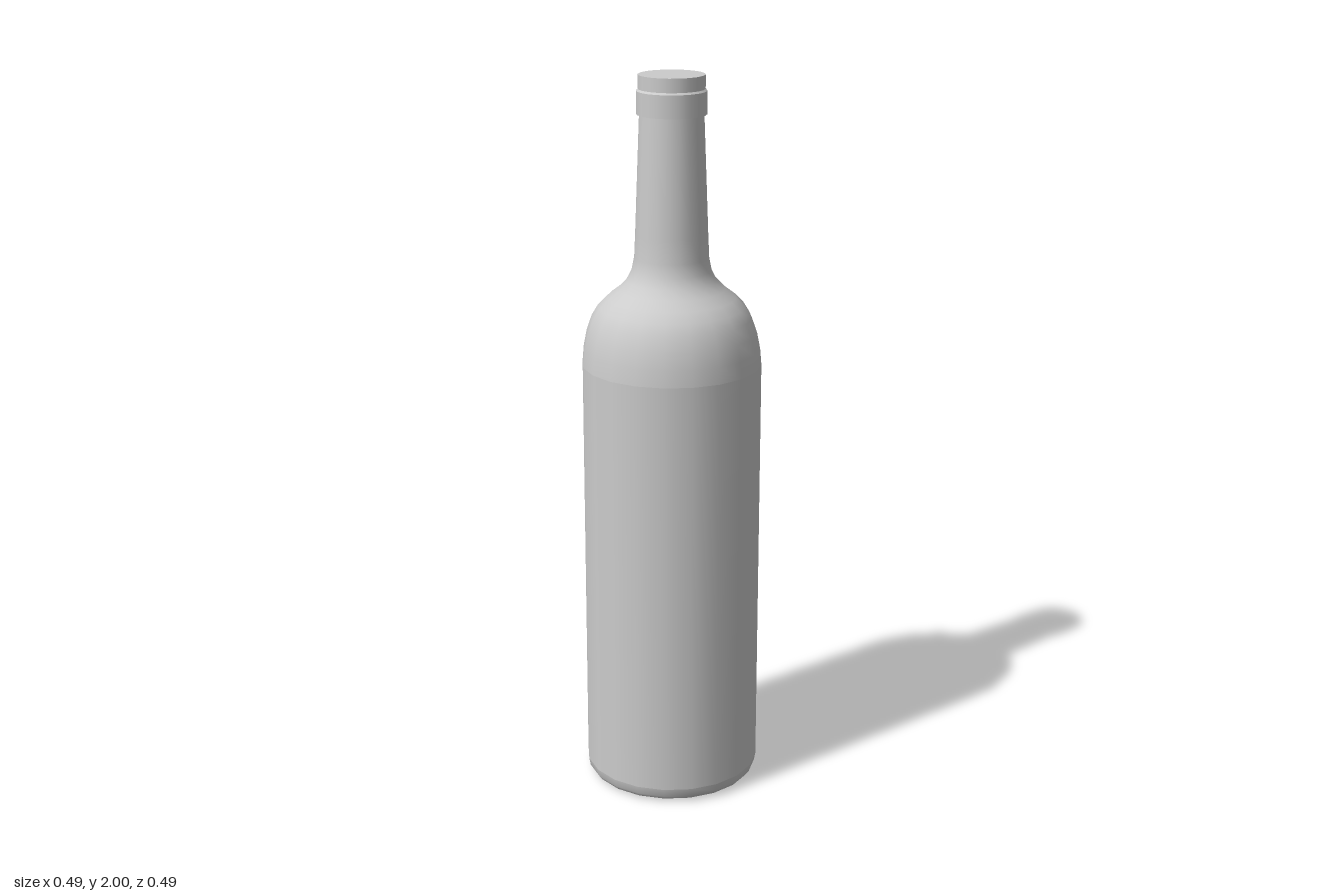
import * as THREE from 'three';

const SIDES = 20;

export function createModel() {
  const bottle = new THREE.Group();
  bottle.name = 'bottle';
  const material = new THREE.MeshStandardMaterial({ color: 0xcccccc });

  // Each profile runs bottom to top as [radius, height]; separate profiles keep hard edges between them.
  const turn = (name, profile) => {
    const points = profile.map(([r, y]) => new THREE.Vector2(r, y));
    const mesh = new THREE.Mesh(new THREE.LatheGeometry(points, SIDES), material);
    mesh.name = name;
    bottle.add(mesh);
  };

  // Flat underside and rounded bottom edge
  turn('base', [[0, 0], [0.215, 0]]);
  turn('bottomEdge', [[0.215, 0], [0.232, 0.008], [0.241, 0.02], [0.245, 0.042]]);

  // Straight body
  turn('body', [[0.245, 0.042], [0.245, 1.22]]);

  // Domed shoulder sweeping into the tapered neck
  turn('shoulderAndNeck', [
    [0.245, 1.22], [0.241, 1.265], [0.232, 1.31], [0.218, 1.35], [0.2, 1.38],
    [0.175, 1.405], [0.145, 1.428], [0.122, 1.452], [0.108, 1.48], [0.101, 1.515],
    [0.098, 1.58], [0.086, 1.9],
  ]);

  // Raised ring below the mouth
  turn('ringUnderside', [[0.084, 1.897], [0.094, 1.897]]);
  turn('ring', [[0.094, 1.897], [0.094, 1.958]]);
  turn('ringTop', [[0.094, 1.958], [0.089, 1.963]]);

  // Mouth and its closed top
  turn('mouth', [[0.089, 1.963], [0.089, 2]]);
  turn('topCap', [[0.089, 2], [0, 2]]);

  return bottle;
}
